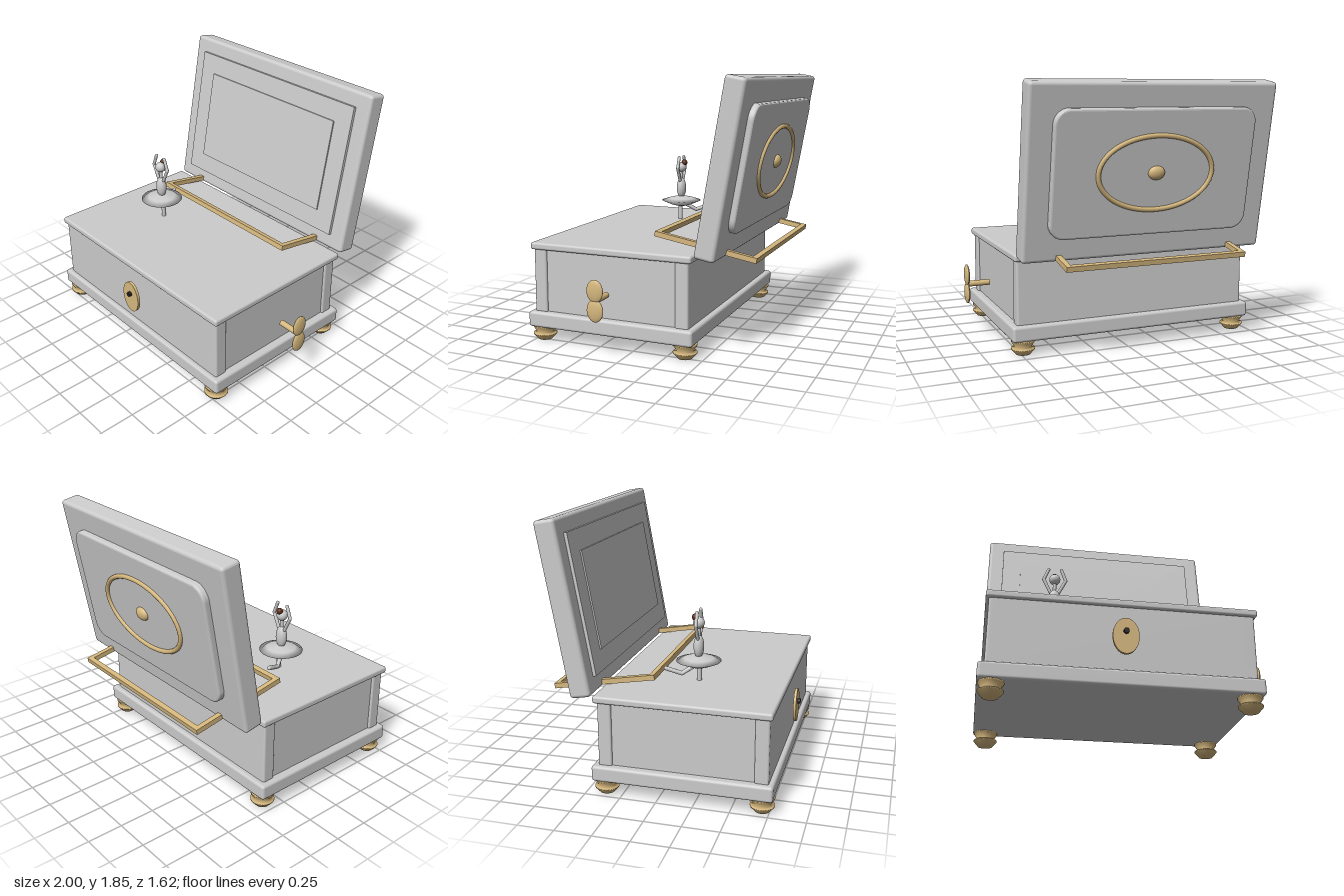
import * as THREE from 'three';
import { RoundedBoxGeometry } from 'three/addons/geometries/RoundedBoxGeometry.js';

const grey = new THREE.MeshStandardMaterial({ color: 0xcccccc });
const gold = new THREE.MeshStandardMaterial({ color: 0xd6b87e });
const brown = new THREE.MeshStandardMaterial({ color: 0x5c2e1a });
const black = new THREE.MeshStandardMaterial({ color: 0x222222 });
const V = (x, y, z) => new THREE.Vector3(x, y, z);

function add(parent, name, geometry, material, x = 0, y = 0, z = 0) {
  const mesh = new THREE.Mesh(geometry, material);
  mesh.name = name;
  mesh.position.set(x, y, z);
  parent.add(mesh);
  return mesh;
}

const rounded = (w, h, d, r) => new RoundedBoxGeometry(w, h, d, 3, r);
const ellipsoid = (rx, ry, rz) => new THREE.SphereGeometry(1, 32, 20).scale(rx, ry, rz);
const lathe = (pts, n = 32) => new THREE.LatheGeometry(pts.map(p => new THREE.Vector2(...p)), n);

// Rectangle outline with rounded corners
function roundedRect(w, h, r) {
  const s = new THREE.Shape();
  const x = w / 2, y = h / 2;
  s.absarc(x - r, y - r, r, 0, Math.PI / 2);
  s.absarc(-x + r, y - r, r, Math.PI / 2, Math.PI);
  s.absarc(-x + r, -y + r, r, Math.PI, Math.PI * 1.5);
  s.absarc(x - r, -y + r, r, Math.PI * 1.5, Math.PI * 2);
  s.closePath();
  return s;
}

// Jointed limb: straight tubes with a ball at every joint
function limb(parent, name, points, r) {
  const group = new THREE.Group();
  group.name = name;
  points.forEach((p, i) => {
    add(group, name + 'Joint', new THREE.SphereGeometry(r, 12, 8), grey, p.x, p.y, p.z);
    if (i) add(group, name + 'Segment',
      new THREE.TubeGeometry(new THREE.LineCurve3(points[i - 1], p), 1, r, 12), grey);
  });
  parent.add(group);
}

function makeCase() {
  const box = new THREE.Group();
  box.name = 'case';
  add(box, 'plinth', rounded(1.82, 0.11, 1.23, 0.02), grey, 0, 0.155, 0);
  add(box, 'body', rounded(1.71, 0.46, 1.155, 0.012), grey, 0, 0.43, 0.003);
  add(box, 'topBoard', rounded(1.78, 0.05, 1.2, 0.016), grey, 0, 0.675, 0);
  for (const sx of [-1, 1]) for (const sz of [-1, 1]) {
    add(box, 'cornerPost', rounded(0.09, 0.46, 0.095, 0.015), grey, sx * 0.825, 0.43, 0.003 + sz * 0.53);
    // Turned foot
    add(box, 'foot', lathe([[0, 0], [0.05, 0], [0.082, 0.036], [0.082, 0.045], [0.056, 0.05],
      [0.082, 0.09], [0.082, 0.102], [0, 0.102]]), gold, sx * 0.82, 0, sz * 0.535);
  }
  // Oval lock plate
  add(box, 'lockPlate', new THREE.CylinderGeometry(1, 1, 0.02, 40).rotateX(Math.PI / 2).scale(0.086, 0.122, 1),
    gold, 0, 0.432, 0.62);
  add(box, 'keyhole', new THREE.CylinderGeometry(0.018, 0.018, 0.035, 20).rotateX(Math.PI / 2), black, 0, 0.461, 0.633);
  return box;
}

// Lid built upright around its own centre, then leaned back
function makeLid() {
  const lid = new THREE.Group();
  lid.name = 'lid';
  add(lid, 'lidBoard', rounded(1.78, 1.186, 0.145, 0.025), grey);
  add(lid, 'innerPanel', new THREE.BoxGeometry(1.55, 0.967, 0.04), grey, 0, 0, 0.0745);
  add(lid, 'mirrorPanel', new THREE.BoxGeometry(1.26, 0.68, 0.04), grey, 0, 0, 0.085);
  const bevel = 0.015;
  add(lid, 'outerPanel', new THREE.ExtrudeGeometry(roundedRect(1.42, 0.83, 0.09), {
    depth: 0.03, bevelThickness: bevel, bevelSize: bevel, bevelSegments: 3, curveSegments: 10,
  }), grey, 0, 0, -0.101);
  // Oval ornament on the outside
  const ringPath = new THREE.CatmullRomCurve3(Array.from({ length: 32 }, (_, i) => {
    const a = i / 32 * Math.PI * 2;
    return V(0.415 * Math.cos(a), 0.252 * Math.sin(a), 0);
  }), true);
  add(lid, 'ovalRing', new THREE.TubeGeometry(ringPath, 72, 0.017, 10, true), gold, 0, 0, -0.117);
  add(lid, 'ovalBoss', ellipsoid(0.06, 0.048, 0.033), gold, 0, 0, -0.117);
  // Rectangular hinge frame passing under the lid
  const frame = roundedRect(1.315, 0.735, 0.001);
  frame.holes.push(roundedRect(1.242, 0.662, 0.001));
  add(lid, 'hingeFrame', new THREE.ExtrudeGeometry(frame, { depth: 0.036, bevelEnabled: false, curveSegments: 1 })
    .rotateX(-Math.PI / 2), gold, 0, -0.582, 0.083);
  lid.rotation.x = -THREE.MathUtils.degToRad(10);
  return lid;
}

function makeKey() {
  const key = new THREE.Group();
  key.name = 'windingKey';
  add(key, 'keyShaft', new THREE.CylinderGeometry(0.021, 0.021, 0.165, 20).rotateZ(Math.PI / 2), gold, 0.9, 0, 0);
  for (const s of [-1, 1])
    add(key, 'keyWing', ellipsoid(0.018, 0.077, 0.06), gold, 0.982, s * 0.066, 0);
  return key;
}

function makeDancer() {
  const d = new THREE.Group();
  d.name = 'dancer';
  add(d, 'skirt', lathe([[0, 0.795], [0.08, 0.815], [0.155, 0.848], [0.1, 0.866], [0.035, 0.882], [0, 0.884]], 40), grey);
  add(d, 'torso', ellipsoid(0.044, 0.083, 0.036), grey, 0, 0.948, 0);
  add(d, 'neck', new THREE.CylinderGeometry(0.013, 0.013, 0.08, 14), grey, 0, 1.05, 0);
  add(d, 'head', new THREE.SphereGeometry(0.04, 24, 16), grey, 0, 1.115, 0);
  add(d, 'hairBun', new THREE.SphereGeometry(0.023, 20, 14), brown, 0, 1.152, -0.026);
  for (const s of [-1, 1])
    limb(d, 'arm', [V(s * 0.03, 1.01, 0), V(s * 0.08, 1.112, 0), V(s * 0.047, 1.195, 0)], 0.012);
  add(d, 'standingLeg', new THREE.CylinderGeometry(0.016, 0.016, 0.15, 16), grey, 0.018, 0.76, 0);
  limb(d, 'raisedLeg', [V(-0.02, 0.825, -0.01), V(-0.07, 0.768, -0.1), V(-0.1, 0.805, -0.205)], 0.015);
  return d;
}

export function createModel() {
  const model = new THREE.Group();
  model.name = 'musicBox';
  const parts = [
    [makeCase(), -0.09, 0, 0.165],
    [makeLid(), -0.09, 1.261, -0.62],
    [makeKey(), 0, 0.392, 0.163],
    [makeDancer(), -0.498, 0, 0.163],
  ];
  for (const [part, x, y, z] of parts) {
    part.position.set(x, y, z);
    model.add(part);
  }
  return model;
}
